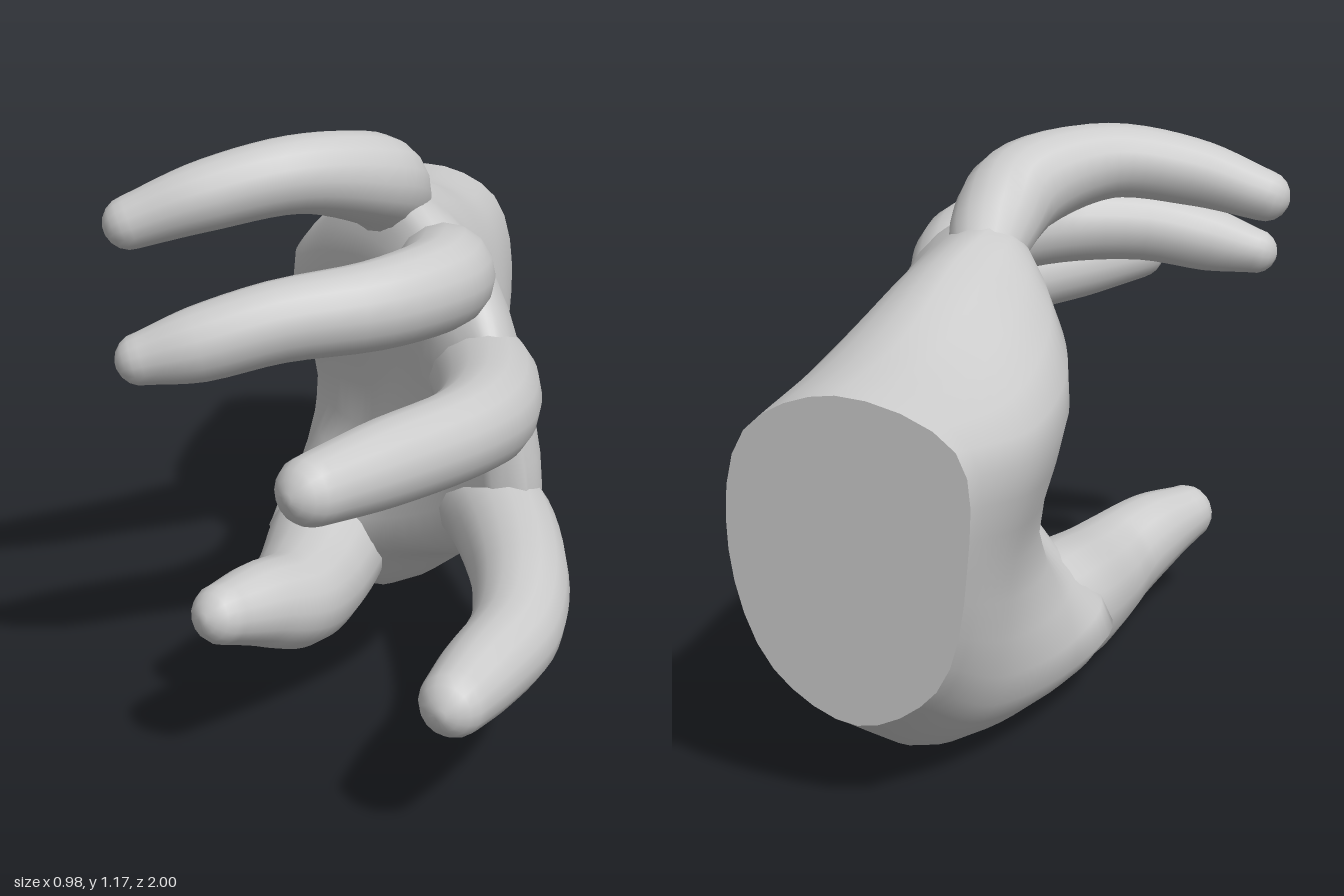
import * as THREE from 'three';

const material = new THREE.MeshStandardMaterial({ color: 0xcccccc, roughness: 0.8 });
const V = (x, y, z) => new THREE.Vector3(x, y, z);

// Skin over a row of rings (counter-clockwise seen from the far end), closed at the end
function loft(name, rings) {
  const n = rings[0].length, points = rings.flat(), index = [];
  rings.slice(1).forEach((_, i) => {
    for (let j = 0; j < n; j++) {
      const a = i * n + j, b = i * n + (j + 1) % n;
      index.push(a, b, a + n, b, b + n, a + n);
    }
  });
  const last = (rings.length - 1) * n;
  points.push(centre(rings[rings.length - 1]));
  for (let j = 0; j < n; j++) index.push(points.length - 1, last + j, last + (j + 1) % n);
  return build(name, points, index);
}

// Flat disc closing the start of a loft with a sharp edge
function startCap(name, ring) {
  const n = ring.length, index = [];
  for (let j = 0; j < n; j++) index.push(n, (j + 1) % n, j);
  return build(name, [...ring, centre(ring)], index);
}

function centre(ring) {
  return ring.reduce((s, p) => s.add(p), V(0, 0, 0)).divideScalar(ring.length);
}

function build(name, points, index) {
  const g = new THREE.BufferGeometry().setFromPoints(points);
  g.setIndex(index);
  g.computeVertexNormals();
  const mesh = new THREE.Mesh(g, material);
  mesh.name = name;
  return mesh;
}

// Tapered, bent finger with a round tip; path rows are x, y, z, radius
function finger(name, path) {
  const curve = new THREE.CatmullRomCurve3(path.map(p => V(p[0], p[1], p[2])));
  const radius = new THREE.CatmullRomCurve3(path.map((p, i) => V(i, p[3], 0)));
  const steps = 28, sides = 16, rings = [];
  const ring = (t, r, push) => {
    const T = curve.getTangent(t);
    const N = V(0, 1, 0).cross(T).normalize(), B = T.clone().cross(N);
    const c = curve.getPoint(t).addScaledVector(T, push);
    rings.push(Array.from({ length: sides }, (_, j) => {
      const a = j / sides * Math.PI * 2;
      return c.clone().addScaledVector(N, r * Math.cos(a)).addScaledVector(B, r * Math.sin(a));
    }));
  };
  for (let i = 0; i <= steps; i++) ring(i / steps, radius.getPoint(i / steps).y, 0);
  const tip = path[path.length - 1][3];
  for (let k = 1; k <= 4; k++) {
    const a = k / 4.5 * Math.PI / 2;
    ring(1, tip * Math.cos(a), tip * Math.sin(a));
  }
  return loft(name, rings);
}

// Palm outlines from wrist to finger webs: top, back of hand, bottom, palm side
const palmDepth = [-1, -0.7, -0.4, -0.2, -0.02, 0.12, 0.21];
const palmOutline = [
  [[0.1, 0.84], [0.28, 0.76], [0.33, 0.52], [0.26, 0.28], [0.1, 0.18], [-0.06, 0.27], [-0.13, 0.52], [-0.12, 0.75]],
  [[0.08, 0.87], [0.27, 0.79], [0.33, 0.5], [0.25, 0.2], [0.06, 0.045], [-0.1, 0.15], [-0.14, 0.45], [-0.18, 0.72]],
  [[0.07, 0.96], [0.24, 0.86], [0.34, 0.52], [0.26, 0.18], [0.03, 0.0], [-0.18, 0.12], [-0.1, 0.41], [-0.16, 0.76]],
  [[0.05, 1.0], [0.23, 0.9], [0.355, 0.57], [0.31, 0.22], [0.06, 0.015], [-0.205, 0.15], [0.02, 0.41], [-0.07, 0.83]],
  [[0.12, 0.98], [0.275, 0.89], [0.385, 0.6], [0.4, 0.31], [0.26, 0.19], [0.06, 0.2], [0.11, 0.52], [0.06, 0.85]],
  [[0.24, 0.86], [0.315, 0.82], [0.39, 0.61], [0.42, 0.34], [0.36, 0.24], [0.25, 0.3], [0.21, 0.54], [0.18, 0.78]],
  [[0.31, 0.71], [0.34, 0.7], [0.37, 0.58], [0.395, 0.39], [0.38, 0.33], [0.34, 0.36], [0.31, 0.54], [0.3, 0.67]],
];

function palmRings() {
  const sides = 32, steps = 36;
  const rows = palmOutline.map((o, i) => {
    // the wrist cut leans forward towards the bottom
    const pts = o.map(([x, y]) => V(x, y, palmDepth[i] + (i === 0 ? (0.84 - y) * 0.11 : 0)));
    const loop = new THREE.CatmullRomCurve3(pts.reverse(), true);
    return Array.from({ length: sides }, (_, j) => loop.getPoint(j / sides));
  });
  const lines = rows[0].map((_, j) => new THREE.CatmullRomCurve3(rows.map(r => r[j])));
  return Array.from({ length: steps + 1 }, (_, i) => lines.map(l => l.getPoint(i / steps)));
}

export function createModel() {
  const hand = new THREE.Group();
  hand.name = 'hand';

  const rings = palmRings();
  hand.add(loft('palm', rings), startCap('wristCut', rings[0]));

  // each finger is rooted just inside the palm and swells at its knuckle
  hand.add(
    finger('littleFinger', [
      [0.06, 0.9, -0.28, 0.06], [0.075, 0.965, -0.15, 0.09], [0.05, 1.035, -0.03, 0.1], [-0.1, 1.08, 0.12, 0.083],
      [-0.28, 1.05, 0.2, 0.074], [-0.43, 1.0, 0.235, 0.057]]),
    finger('ringFinger', [
      [0.16, 0.81, -0.18, 0.07], [0.19, 0.835, -0.05, 0.1], [0.21, 0.865, 0.1, 0.106], [0.19, 0.88, 0.24, 0.098],
      [0.08, 0.88, 0.38, 0.09], [-0.1, 0.87, 0.47, 0.082], [-0.25, 0.835, 0.52, 0.075], [-0.355, 0.81, 0.54, 0.053]]),
    finger('middleFinger', [
      [0.23, 0.63, -0.14, 0.08], [0.26, 0.635, -0.02, 0.105], [0.3, 0.645, 0.14, 0.113], [0.31, 0.67, 0.4, 0.103],
      [0.265, 0.69, 0.58, 0.09], [0.13, 0.7, 0.78, 0.083], [0.02, 0.705, 0.93, 0.067]]),
    finger('indexFinger', [
      [0.25, 0.36, -0.14, 0.08], [0.28, 0.345, -0.02, 0.11], [0.345, 0.33, 0.16, 0.111], [0.39, 0.315, 0.45, 0.099],
      [0.38, 0.3, 0.64, 0.09], [0.32, 0.3, 0.82, 0.081], [0.28, 0.3, 0.93, 0.067]]),
    finger('thumb', [
      [-0.04, 0.17, -0.3, 0.115], [-0.06, 0.15, -0.15, 0.138], [-0.085, 0.135, 0.06, 0.124], [-0.11, 0.145, 0.18, 0.11],
      [-0.17, 0.18, 0.29, 0.092], [-0.23, 0.2, 0.385, 0.067]]),
  );
  return hand;
}
